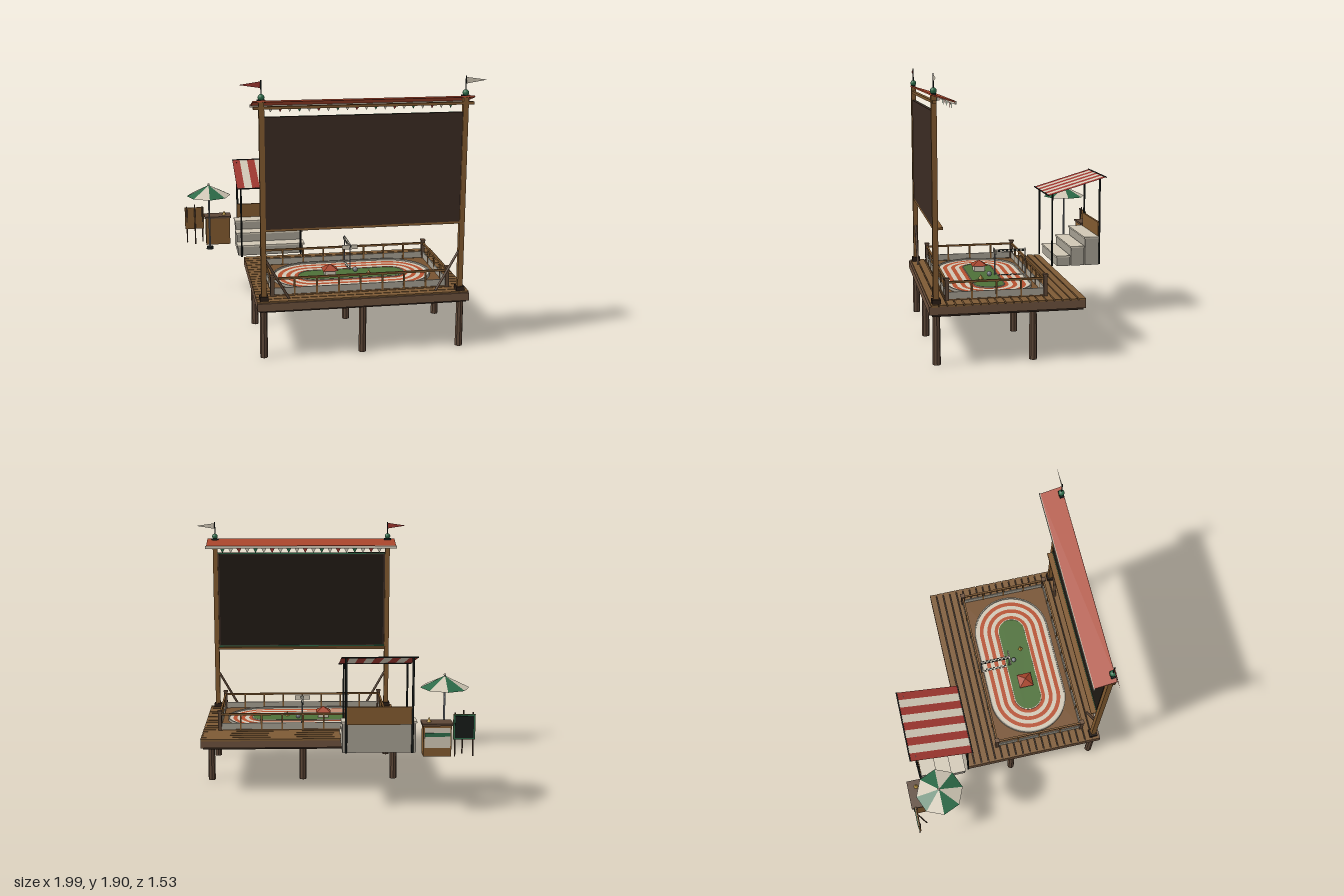
import * as THREE from 'three';

const C = {
  wood: 0x80592f, plank: 0x7d5a35, dark: 0x2a1d15, leg: 0x5c4636, beam: 0x6b503c, red: 0xa8452c, cream: 0xcfc6b4,
  track: 0xb5502f, grass: 0x4d7038, green: 0x2c6a48, black: 0x161a18, screen: 0x3a2a22, grey: 0xa39d90,
  awning: 0x9c362f, sand: 0x765230, gold: 0xc09a45, steel: 0x767a80,
};
const mats = {};
const mat = (c) => (mats[c] ??= new THREE.MeshStandardMaterial({ color: c }));
const matFlat = (c) => (mats['f' + c] ??= new THREE.MeshStandardMaterial({ color: c, flatShading: true }));
const matThin = (c) => (mats['d' + c] ??= new THREE.MeshStandardMaterial({ color: c, side: THREE.DoubleSide }));

function add(parent, name, geo, material, x = 0, y = 0, z = 0) {
  const m = new THREE.Mesh(geo, material);
  m.name = name;
  m.position.set(x, y, z);
  parent.add(m);
  return m;
}
// Box given by its extents on each axis
function box(parent, name, c, [x0, x1], [y0, y1], [z0, z1]) {
  return add(parent, name, new THREE.BoxGeometry(x1 - x0, y1 - y0, z1 - z0), mat(c),
    (x0 + x1) / 2, (y0 + y1) / 2, (z0 + z1) / 2);
}
// Round bar between two points
function rod(parent, name, c, a, b, r, sides = 8) {
  const p = new THREE.Vector3(...a), d = new THREE.Vector3(...b).sub(p);
  const m = add(parent, name, new THREE.CylinderGeometry(r, r, d.length(), sides), mat(c));
  m.position.copy(p).addScaledVector(d, 0.5);
  m.quaternion.setFromUnitVectors(new THREE.Vector3(0, 1, 0), d.normalize());
  return m;
}
function triangle(parent, name, c, pts) {
  const g = new THREE.BufferGeometry().setFromPoints(pts.map((p) => new THREE.Vector3(...p)));
  g.computeVertexNormals();
  return add(parent, name, g, matThin(c));
}
function group(parent, name) {
  const g = new THREE.Group();
  g.name = name;
  parent.add(g);
  return g;
}
// Flat stadium-shaped ring, or a full slab when inner is 0
function oval(parent, name, c, outer, inner, y0, y1) {
  const half = 0.28;
  const path = (P, r) => {
    const p = new P();
    p.absarc(half, 0, r, -Math.PI / 2, Math.PI / 2);
    p.absarc(-half, 0, r, Math.PI / 2, Math.PI * 1.5);
    p.closePath();
    return p;
  };
  const s = path(THREE.Shape, outer);
  if (inner) s.holes.push(path(THREE.Path, inner));
  const g = new THREE.ExtrudeGeometry(s, { depth: y1 - y0, bevelEnabled: false, curveSegments: 24 });
  add(parent, name, g.rotateX(-Math.PI / 2), mat(c), 0.16, y0, 0.295);
}

function buildDeck(root) {
  const g = group(root, 'deck');
  box(g, 'deckBase', C.dark, [-0.555, 0.885], [0.33, 0.395], [-0.265, 0.745]);
  for (const [z0, z1] of [[-0.28, -0.265], [0.745, 0.765]]) box(g, 'fascia', C.beam, [-0.57, 0.9], [0.345, 0.4], [z0, z1]);
  for (const x of [-0.57, 0.885]) box(g, 'sideFascia', C.beam, [x, x + 0.015], [0.345, 0.4], [-0.28, 0.765]);
  const n = 19, step = 1.04 / n;
  for (let i = 0; i < n; i++) box(g, 'plank', C.plank, [-0.57, 0.9], [0.395, 0.41], [-0.28 + i * step, -0.288 + (i + 1) * step]);
  for (const x of [-0.525, 0.16, 0.85]) for (const z of [0.715, 0.07])
    add(g, 'leg', new THREE.CylinderGeometry(0.025, 0.027, 0.34, 8), matFlat(C.leg), x, 0.17, z);
}

function buildArena(root) {
  const g = group(root, 'arena');
  box(g, 'sandPad', C.sand, [-0.455, 0.775], [0.405, 0.416], [-0.03, 0.64]);
  for (let i = 0; i < 6; i++) {
    const r = 0.285 - i * 0.03;
    oval(g, 'trackLane', i % 2 ? C.track : C.cream, r, r - 0.03, 0.41, 0.424);
  }
  oval(g, 'infield', C.grass, 0.102, 0, 0.41, 0.428);
  oval(g, 'innerKerb', C.cream, 0.108, 0.102, 0.41, 0.431);
  oval(g, 'outerKerb', C.grey, 0.295, 0.285, 0.41, 0.435);
  // Infield hut, ball and cone
  box(g, 'hutWalls', C.cream, [-0.04, 0.04], [0.425, 0.472], [0.26, 0.34]);
  add(g, 'hutRoof', new THREE.ConeGeometry(0.078, 0.04, 4).rotateY(Math.PI / 4), matFlat(C.red), 0, 0.489, 0.3);
  add(g, 'ball', new THREE.SphereGeometry(0.018, 16, 12), mat(C.steel), 0.195, 0.444, 0.255);
  add(g, 'cone', new THREE.ConeGeometry(0.02, 0.035, 4), matFlat(C.gold), 0.28, 0.445, 0.33);
  // Finish gantry with a chequered beam and matching line
  for (const z of [-0.015, 0.21]) rod(g, 'gantryPost', C.steel, [0.165, 0.41, z], [0.165, 0.62, z], 0.005);
  for (let i = 0; i < 16; i++) for (let j = 0; j < 2; j++) {
    const x = 0.155 + j * 0.01, z = -0.02 + i * 0.0147, c = (i + j) % 2 ? C.cream : C.black;
    box(g, 'beamCheck', c, [x, x + 0.01], [0.597, 0.612], [z, z + 0.0147]);
    box(g, 'lineCheck', c, [x, x + 0.01], [0.42, 0.427], [z, z + 0.0147]);
  }
  box(g, 'finishSign', C.cream, [0.105, 0.22], [0.583, 0.615], [0.204, 0.212]);

  // Fence with low boards and a hand rail
  const f = group(root, 'fence'), X = [-0.455, 0.775], Z = [-0.03, 0.635];
  for (const z of Z) {
    box(f, 'rail', C.wood, X, [0.524, 0.538], [z - 0.007, z + 0.007]);
    box(f, 'board', C.grey, X, [0.418, 0.465], [z - 0.004, z + 0.004]);
    for (let i = 1; i < 8; i++) {
      const x = X[0] + i * 0.15375;
      box(f, 'post', C.wood, [x - 0.006, x + 0.006], [0.41, 0.53], [z - 0.006, z + 0.006]);
    }
  }
  for (const x of X) {
    box(f, 'rail', C.wood, [x - 0.007, x + 0.007], [0.524, 0.538], Z);
    box(f, 'board', C.grey, [x - 0.004, x + 0.004], [0.418, 0.465], Z);
    for (let i = 1; i < 4; i++) {
      const z = Z[0] + i * 0.16625;
      box(f, 'post', C.wood, [x - 0.006, x + 0.006], [0.41, 0.53], [z - 0.006, z + 0.006]);
    }
    for (const z of Z) {
      box(f, 'cornerPost', C.leg, [x - 0.013, x + 0.013], [0.41, 0.55], [z - 0.013, z + 0.013]);
      box(f, 'cornerCap', C.beam, [x - 0.017, x + 0.017], [0.55, 0.56], [z - 0.017, z + 0.017]);
    }
  }
}

function buildScreen(root) {
  const g = group(root, 'screen'), z = 0.715;
  box(g, 'panel', C.screen, [-0.505, 0.828], [0.905, 1.66], [0.705, 0.725]);
  box(g, 'screenFace', 0x1f1813, [-0.49, 0.813], [0.92, 1.645], [0.702, 0.706]);
  for (const [y0, y1] of [[0.905, 0.915], [1.65, 1.66]]) box(g, 'trim', C.green, [-0.505, 0.828], [y0, y1], [0.7, 0.706]);
  box(g, 'ledge', C.wood, [-0.505, 0.828], [0.89, 0.906], [0.66, 0.725]);
  for (const [x, dir, c] of [[-0.521, 1, C.awning], [0.843, -1, C.cream]]) {
    box(g, 'post', C.wood, [x - 0.018, x + 0.018], [0.41, 1.76], [z - 0.018, z + 0.018]);
    box(g, 'postFoot', C.dark, [x - 0.029, x + 0.029], [0.41, 0.44], [z - 0.029, z + 0.029]);
    rod(g, 'brace', C.leg, [x + dir * 0.015, 0.69, z], [x + dir * 0.17, 0.415, z], 0.009);
    // Finial and pennant
    box(g, 'finialPlate', C.black, [x - 0.027, x + 0.027], [1.755, 1.772], [z - 0.015, z + 0.015]);
    add(g, 'finial', new THREE.SphereGeometry(0.022, 16, 12), mat(C.green), x, 1.788, z);
    rod(g, 'flagPole', C.black, [x, 1.79, z], [x, 1.9, z], 0.004);
    triangle(g, 'pennant', c, [[x, 1.892, z], [x, 1.848, z], [x - dir * 0.145, 1.871, z]]);
  }
  // Sloping roof with pale trim and bunting
  const roof = add(g, 'roof', new THREE.BoxGeometry(1.48, 0.01, 0.155), mat(C.red), 0.163, 1.742, 0.658);
  roof.rotation.x = -Math.atan2(0.045, 0.15);
  box(g, 'roofTrim', C.cream, [-0.583, 0.91], [1.703, 1.723], [0.576, 0.586]);
  box(g, 'roofBeam', C.wood, [-0.575, 0.9], [1.71, 1.728], [0.703, 0.727]);
  const flags = [C.cream, C.awning, C.cream, C.green], n = 20;
  for (let i = 0; i < n; i++) {
    const x = -0.48 + (i + 0.5) * (1.29 / n);
    triangle(g, 'bunting', flags[i % 4], [[x - 0.019, 1.705, 0.59], [x, 1.668, 0.59], [x + 0.019, 1.705, 0.59]]);
  }
}

function buildGrandstand(root) {
  const g = group(root, 'grandstand');
  [[-0.31, -0.42, 0.49], [-0.42, -0.53, 0.56], [-0.53, -0.645, 0.628]].forEach(([front, back, top]) => {
    box(g, 'step', C.grey, [-0.61, -0.105], [0.41, top - 0.012], [back, front - 0.008]);
    box(g, 'seat', C.cream, [-0.617, -0.097], [top - 0.012, top], [back, front]);
  });
  box(g, 'backBoard', C.wood, [-0.59, -0.125], [0.61, 0.735], [-0.66, -0.643]);
  for (const x of [-0.585, -0.13]) {
    rod(g, 'frontPole', C.black, [x, 0.41, -0.285], [x, 0.962, -0.285], 0.007);
    rod(g, 'backPole', C.black, [x, 0.41, -0.655], [x, 1.073, -0.655], 0.008);
  }
  // Striped awning, high at the back
  const a = group(g, 'awning'), w = 0.52 / 9;
  a.position.set(-0.355, 1.02, -0.4725);
  a.rotation.x = Math.atan2(0.13, 0.445);
  for (let i = 0; i < 9; i++)
    add(a, 'stripe', new THREE.PlaneGeometry(w, 0.464).rotateX(-Math.PI / 2), matThin(i % 2 ? C.cream : C.awning), (i - 4) * w);
  for (const z of [-0.232, 0.232]) rod(a, 'awningBar', C.black, [-0.26, 0, z], [0.26, 0, z], 0.005);
}

function buildStall(root) {
  const u = group(root, 'umbrella');
  u.position.set(-0.815, 0, -0.54);
  rod(u, 'pole', C.steel, [0, 0.41, 0], [0, 0.925, 0], 0.007);
  add(u, 'foot', new THREE.CylinderGeometry(0.025, 0.028, 0.02, 16), mat(C.black), 0, 0.42, 0);
  add(u, 'knob', new THREE.SphereGeometry(0.009, 10, 8), mat(C.cream), 0, 0.932, 0);
  const rim = (i) => [0.17 * Math.sin(i * Math.PI / 4), 0.843, -0.17 * Math.cos(i * Math.PI / 4)];
  for (let i = 0; i < 8; i++) triangle(u, 'canopyPanel', i % 2 ? C.green : C.cream, [[0, 0.925, 0], rim(i + 1), rim(i)]);

  const s = group(root, 'stall');
  box(s, 'counter', C.wood, [-0.838, -0.648], [0.41, 0.625], [-0.75, -0.648]);
  box(s, 'counterTop', C.leg, [-0.848, -0.638], [0.625, 0.64], [-0.763, -0.64]);
  box(s, 'frontPanel', C.cream, [-0.83, -0.656], [0.47, 0.61], [-0.754, -0.749]);
  box(s, 'panelStripe', C.green, [-0.83, -0.656], [0.55, 0.575], [-0.757, -0.753]);
  add(s, 'snackCone', new THREE.ConeGeometry(0.016, 0.035, 10), mat(C.gold), -0.69, 0.657, -0.7);

  // Menu easel, its dark face turned to the back
  const e = group(root, 'easel');
  box(e, 'boardBack', C.wood, [-1, -0.85], [0.525, 0.7], [-0.737, -0.728]);
  box(e, 'boardFrame', C.green, [-0.998, -0.852], [0.527, 0.698], [-0.741, -0.736]);
  box(e, 'boardFace', C.black, [-0.988, -0.862], [0.537, 0.688], [-0.744, -0.74]);
  for (const x of [-0.985, -0.862]) rod(e, 'easelLeg', C.leg, [x, 0.41, -0.745], [x, 0.71, -0.722], 0.005);
  rod(e, 'rearLeg', C.leg, [-0.922, 0.41, -0.68], [-0.922, 0.725, -0.722], 0.005);
}

export function createModel() {
  const root = new THREE.Group();
  root.name = 'sportsGround';
  [buildDeck, buildArena, buildScreen, buildGrandstand, buildStall].forEach((build) => build(root));
  return root;
}
